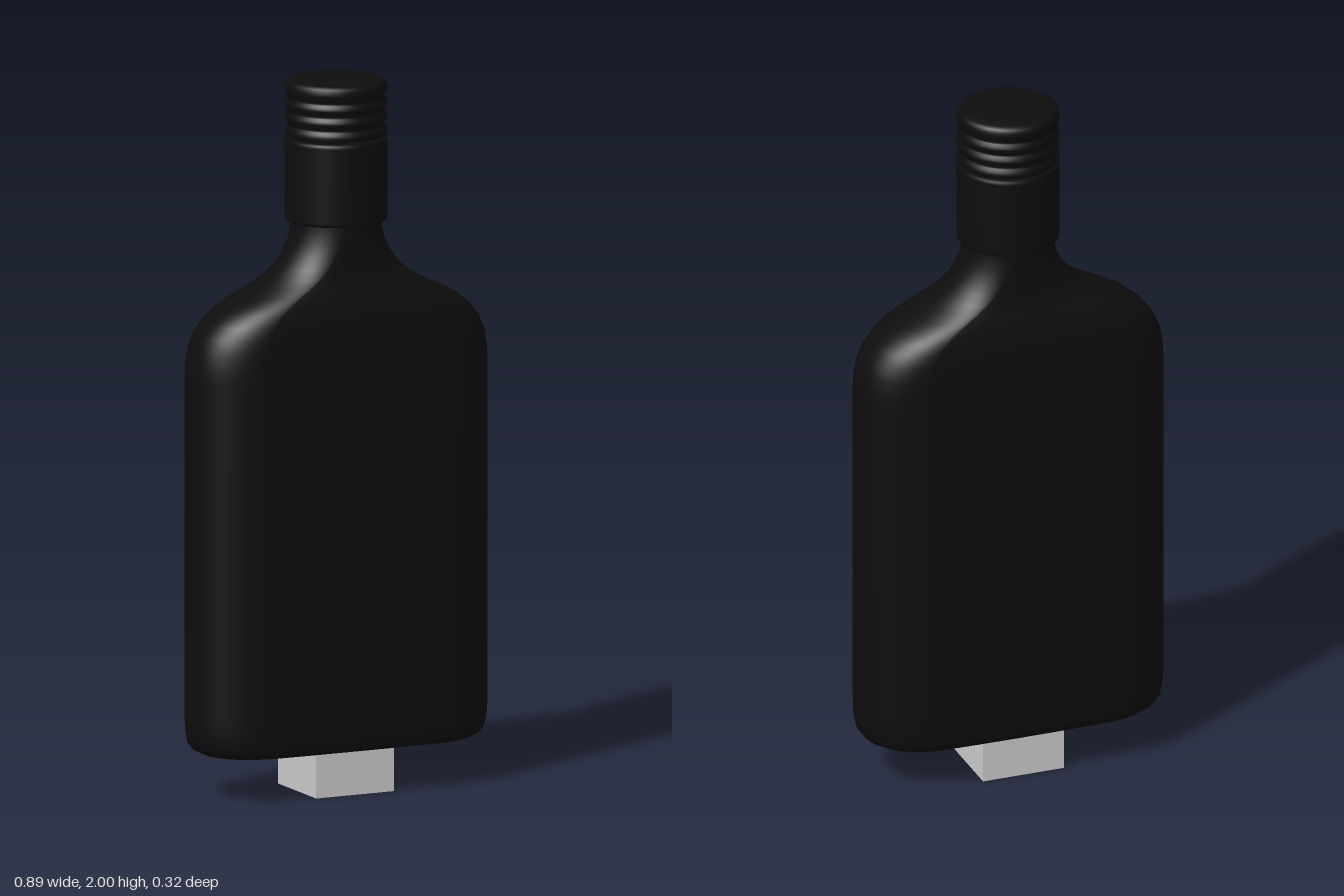
import * as THREE from 'three';

const SEGMENTS = 96;

// Flattened oval ring: straight long sides with rounded ends, becoming a circle at the neck
function ovalRing(a, y, b) {
  const end = Math.min(a, Math.max(b, 0.23 * a / 0.447));
  const n = 2 + 0.35 * Math.min(1, (a - end) / 0.2);
  const ring = [];
  for (let i = 0; i < SEGMENTS; i++) {
    const t = (i / SEGMENTS) * Math.PI * 2;
    const c = Math.cos(t), s = Math.sin(t);
    const x = Math.sign(c) * (a - end) * Math.min(1, Math.abs(c) * 4)
      + Math.sign(c) * end * Math.pow(Math.abs(c), 2 / n);
    ring.push(x, y, b * Math.sign(s) * Math.pow(Math.abs(s), 2 / n));
  }
  return ring;
}

// Skin a stack of oval rings, ordered from the base centre up to the neck
function loft(rows) {
  const positions = rows.flatMap(([a, y, b]) => ovalRing(a, y, b));
  const index = [];
  for (let r = 0; r < rows.length - 1; r++) {
    for (let i = 0; i < SEGMENTS; i++) {
      const j = (i + 1) % SEGMENTS;
      const p = r * SEGMENTS + i, q = r * SEGMENTS + j;
      index.push(p, p + SEGMENTS, q, q, p + SEGMENTS, q + SEGMENTS);
    }
  }
  const geometry = new THREE.BufferGeometry();
  geometry.setAttribute('position', new THREE.Float32BufferAttribute(positions, 3));
  geometry.setIndex(index);
  geometry.computeVertexNormals();
  return geometry;
}

function lathe(points) {
  return new THREE.LatheGeometry(points.map(([r, y]) => new THREE.Vector2(r, y)), 64);
}

export function createModel() {
  const black = new THREE.MeshStandardMaterial({ color: 0x0d0d0d });
  black.name = 'black';
  const grey = new THREE.MeshStandardMaterial({ color: 0xcccccc });
  grey.name = 'light grey';

  const model = new THREE.Group();
  model.name = 'flaskBottle';
  const add = (name, geometry, material) => {
    const mesh = new THREE.Mesh(geometry, material);
    mesh.name = name;
    model.add(mesh);
    return mesh;
  };

  // Flask body: recessed base, straight sides, sloping shoulders, round neck
  add('body', loft([
    [0.001, 0.175, 0.001], [0.2, 0.17, 0.07], [0.3, 0.155, 0.105], [0.36, 0.132, 0.125],
    [0.385, 0.126, 0.137], [0.405, 0.127, 0.144], [0.425, 0.137, 0.151], [0.438, 0.155, 0.156],
    [0.445, 0.19, 0.158], [0.447, 0.24, 0.158], [0.447, 0.7, 0.158], [0.447, 1.18, 0.158],
    [0.445, 1.22, 0.158], [0.437, 1.265, 0.157], [0.42, 1.305, 0.155], [0.395, 1.338, 0.152],
    [0.36, 1.367, 0.148], [0.32, 1.39, 0.143], [0.275, 1.411, 0.138], [0.235, 1.432, 0.132],
    [0.2, 1.455, 0.127], [0.172, 1.482, 0.124], [0.15, 1.515, 0.123], [0.134, 1.55, 0.122],
    [0.125, 1.59, 0.122], [0.122, 1.64, 0.122],
  ]), black);

  // Smooth lower sleeve of the cap
  add('capSleeve', lathe([
    [0.12, 1.6], [0.137, 1.6], [0.141, 1.604], [0.142, 1.612],
    [0.142, 1.82], [0.141, 1.829], [0.136, 1.833], [0.12, 1.833],
  ]), black);

  // Screw top with rounded ridges and a softened lid edge
  const ridges = [[0.12, 1.838], [0.136, 1.838], [0.141, 1.842]];
  for (let k = 0; k < 3; k++) {
    const y = 1.85 + k * 0.038;
    ridges.push([0.142, y], [0.141, y + 0.009], [0.135, y + 0.016],
      [0.134, y + 0.021], [0.137, y + 0.028]);
  }
  ridges.push([0.142, 1.967], [0.142, 1.978], [0.138, 1.988], [0.128, 1.994],
    [0.105, 1.998], [0.06, 2], [0, 2]);
  add('capTop', lathe(ridges), black);

  // Square block set into the recessed base
  add('baseBlock', new THREE.BoxGeometry(0.24, 0.24, 0.24), grey).position.y = 0.12;

  return model;
}
